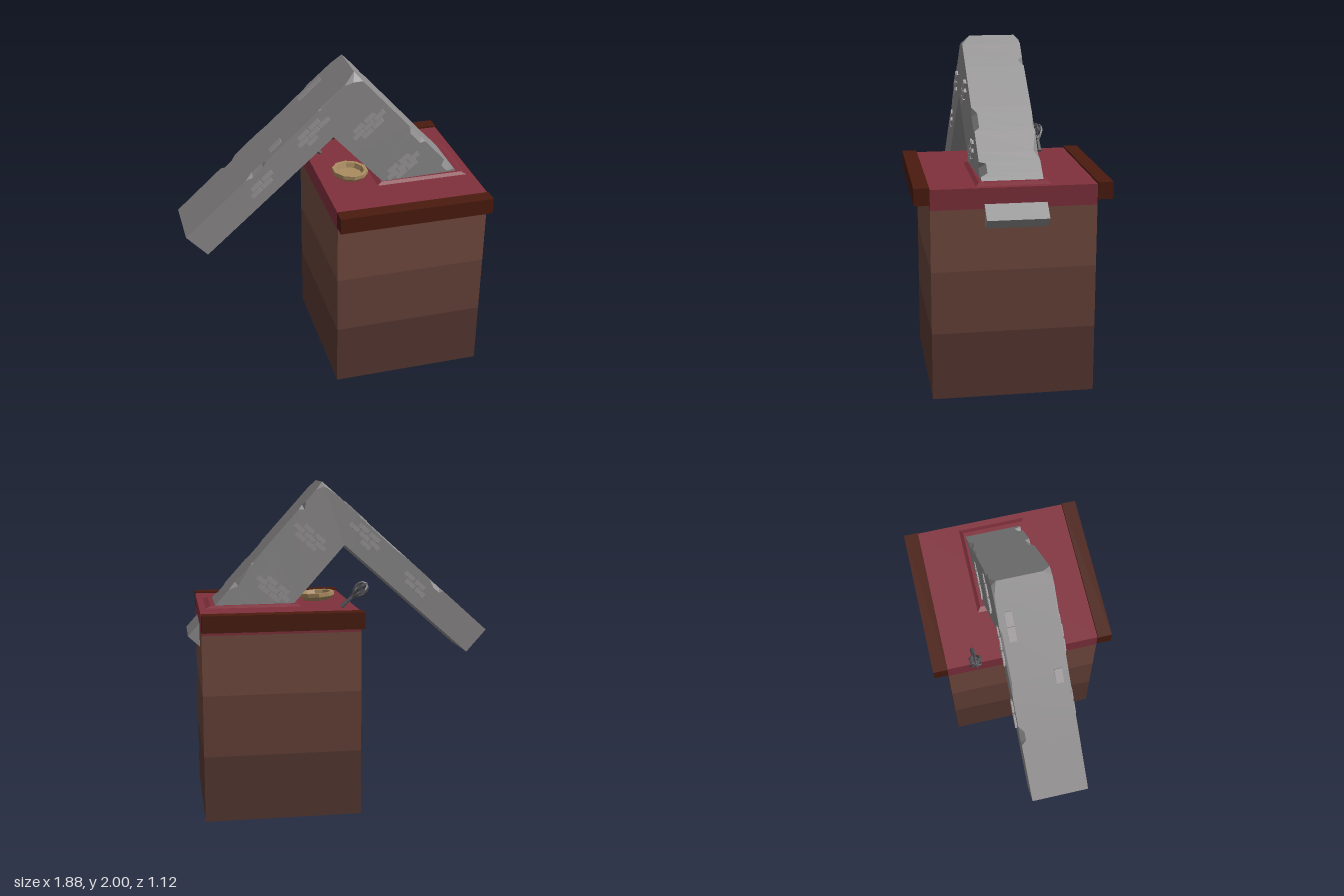
import * as THREE from 'three';

const mat = (color, side = THREE.FrontSide) => new THREE.MeshStandardMaterial({ color, flatShading: true, side });
const lerp = THREE.MathUtils.lerp;

function add(parent, name, geometry, material, x = 0, y = 0, z = 0) {
  const mesh = new THREE.Mesh(geometry, material);
  mesh.name = name;
  mesh.position.set(x, y, z);
  parent.add(mesh);
  return mesh;
}

// Corners of the bent beam: o = outer edge, i = inner edge, zb / zf = back and front
const FOOT = { o: [-0.945, 1.06], i: [-0.82, 0.92], zb: -0.14, zf: 0.205 };
const APEX = { o: [0.105, 2.0], i: [-0.03, 1.615], zb: -0.145, zf: 0.205 };
const HEEL = { o: [0.94, 1.08], i: [0.674, 0.838], zb: -0.19, zf: 0.165 };

// Six-sided section of the beam; the two outer edges are chipped by cf and cb
function section(a, b, t, cf, cb) {
  const O = new THREE.Vector2(lerp(a.o[0], b.o[0], t), lerp(a.o[1], b.o[1], t));
  const I = new THREE.Vector2(lerp(a.i[0], b.i[0], t), lerp(a.i[1], b.i[1], t));
  const zb = lerp(a.zb, b.zb, t), zf = lerp(a.zf, b.zf, t);
  const down = I.clone().sub(O).normalize();
  const F = O.clone().addScaledVector(down, cf), B = O.clone().addScaledVector(down, cb);
  return [[I.x, I.y, zf], [F.x, F.y, zf], [O.x, O.y, zf - cf], [O.x, O.y, zb + cb], [B.x, B.y, zb], [I.x, I.y, zb]];
}

function loft(rings) {
  const p = [], n = rings[0].length;
  const tri = (a, b, c) => p.push(...a, ...b, ...c);
  for (let r = 0; r < rings.length - 1; r++) {
    for (let j = 0; j < n; j++) {
      const k = (j + 1) % n, R = rings[r], S = rings[r + 1];
      tri(R[j], S[j], S[k]);
      tri(R[j], S[k], R[k]);
    }
  }
  const first = rings[0], last = rings[rings.length - 1];
  for (let j = 1; j < n - 1; j++) {
    tri(first[0], first[j], first[j + 1]);
    tri(last[0], last[j + 1], last[j]);
  }
  const g = new THREE.BufferGeometry();
  g.setAttribute('position', new THREE.Float32BufferAttribute(p, 3));
  g.computeVertexNormals();
  return g;
}

export function createModel() {
  const model = new THREE.Group();
  model.name = 'cabinetWithStoneBeam';
  const red = mat(0x80303c), trim = mat(0x4a1b0e), stone = mat(0x8c8a8a), brick = mat(0x9c989a);
  const tan = mat(0xa88a5f, THREE.DoubleSide), metal = mat(0x55555a);

  // Cabinet body in three shades
  const levels = [0, 0.4, 0.77, 1.13];
  [0x573831, 0x664239, 0x734b40].forEach((color, k) => {
    const h = levels[k + 1] - levels[k];
    add(model, 'cabinetBand', new THREE.BoxGeometry(0.945, h, 0.945), mat(color), 0.397, levels[k] + h / 2, 0);
  });

  // Red top, the slight swelling around the beam and the side rails
  add(model, 'redTop', new THREE.BoxGeometry(0.945, 0.12, 0.945), red, 0.397, 1.19, 0);
  const swell = new THREE.CylinderGeometry(0.9, 1, 0.014, 4);
  swell.rotateY(Math.PI / 4).scale(0.41, 1, 0.3);
  add(model, 'redSwelling', swell, red, 0.54, 1.257, 0);
  for (const s of [-1, 1]) {
    add(model, 'sideRail', new THREE.BoxGeometry(0.952, 0.1, 0.088), trim, 0.394, 1.21, s * 0.518);
  }

  // Bent stone beam: [position along the limb, front chip, back chip]
  const arm = [
    [0, 0, 0], [0.27, 0, 0], [0.29, 0, 0.03], [0.33, 0, 0.03], [0.36, 0, 0], [0.4, 0.025, 0],
    [0.46, 0.02, 0], [0.48, 0, 0], [0.56, 0, 0.012], [0.78, 0, 0.01], [0.8, 0.012, 0], [0.94, 0.006, 0.008],
  ];
  const leg = [
    [0, 0.05, 0.03], [0.05, 0, 0], [0.13, 0, 0.008], [0.15, 0, 0.03], [0.18, 0, 0], [0.41, 0, 0],
    [0.44, 0.03, 0], [0.52, 0.03, 0.012], [0.54, 0, 0], [0.65, 0, 0.03], [0.7, 0, 0],
    [0.71, 0.04, 0], [0.76, 0.04, 0], [0.78, 0, 0], [1, 0, 0],
  ];
  const beam = new THREE.Group();
  beam.name = 'stoneBeam';
  model.add(beam);
  add(beam, 'bentBeam', loft([
    ...arm.map(s => section(FOOT, APEX, ...s)),
    ...leg.map(s => section(APEX, HEEL, ...s)),
  ]), stone);

  // Raised brick patches on the front and back: [x, y, z shift, tilt]
  const bricks = [[-0.045, 0.035], [0.045, 0.035], [-0.075, 0], [0.01, 0], [0.095, 0], [-0.03, -0.035], [0.055, -0.035]];
  const patches = [[-0.45, 1.36, 0, 0.73, 4], [-0.16, 1.66, 0, 0.73, 6], [0.18, 1.66, -0.007, 0.73, 7], [0.41, 1.35, -0.02, 0.68, 7]];
  for (const side of [1, -1]) {
    for (const [x, y, dz, tilt, count] of patches) {
      const patch = new THREE.Group();
      patch.name = 'brickPatch';
      patch.position.set(x, y, (side > 0 ? 0.205 : -0.144) + dz);
      patch.rotation.z = tilt;
      beam.add(patch);
      for (const [u, v] of bricks.slice(0, count)) {
        add(patch, 'brick', new THREE.BoxGeometry(0.075, 0.028, 0.02), brick, u, v, 0);
      }
    }
  }
  // Bricks on the upper face of the sloping arm
  for (const [x, z] of [[-0.37, 0.145], [-0.14, -0.08], [-0.07, -0.08]]) {
    const b = add(beam, 'topBrick', new THREE.BoxGeometry(0.09, 0.014, 0.045), brick, x, 2 + (x - 0.105) * 0.895, z);
    b.rotation.z = 0.73;
  }

  // Open bowl, slightly tipped
  const profile = [[0, 0], [0.085, 0], [0.112, 0.025], [0.112, 0.048], [0.088, 0.048], [0.078, 0.018], [0, 0.015]];
  const bowl = add(model, 'bowl',
    new THREE.LatheGeometry(profile.map(p => new THREE.Vector2(...p)), 10), tan, 0.115, 1.255, 0.05);
  bowl.rotation.z = -0.06;

  // Whisk leaning over the edge: handle, collar and a cage of bent wires
  const whisk = new THREE.Group();
  whisk.name = 'whisk';
  whisk.position.set(0.015, 1.257, -0.3);
  whisk.rotation.z = 0.84;
  model.add(whisk);
  add(whisk, 'whiskHandle', new THREE.CylinderGeometry(0.011, 0.014, 0.1, 6), metal, 0, 0.045, 0);
  add(whisk, 'whiskCollar', new THREE.CylinderGeometry(0.022, 0.014, 0.025, 6), metal, 0, 0.095, 0);
  const wire = new THREE.CatmullRomCurve3(
    [[0.01, 0.1], [0.032, 0.135], [0.035, 0.17], [0.02, 0.195], [0, 0.202]].map(([r, y]) => new THREE.Vector3(r, y, 0)));
  for (let k = 0; k < 6; k++) {
    const w = add(whisk, 'whiskWire', new THREE.TubeGeometry(wire, 5, 0.008, 4), metal);
    w.rotation.y = k * Math.PI / 3;
  }
  return model;
}
